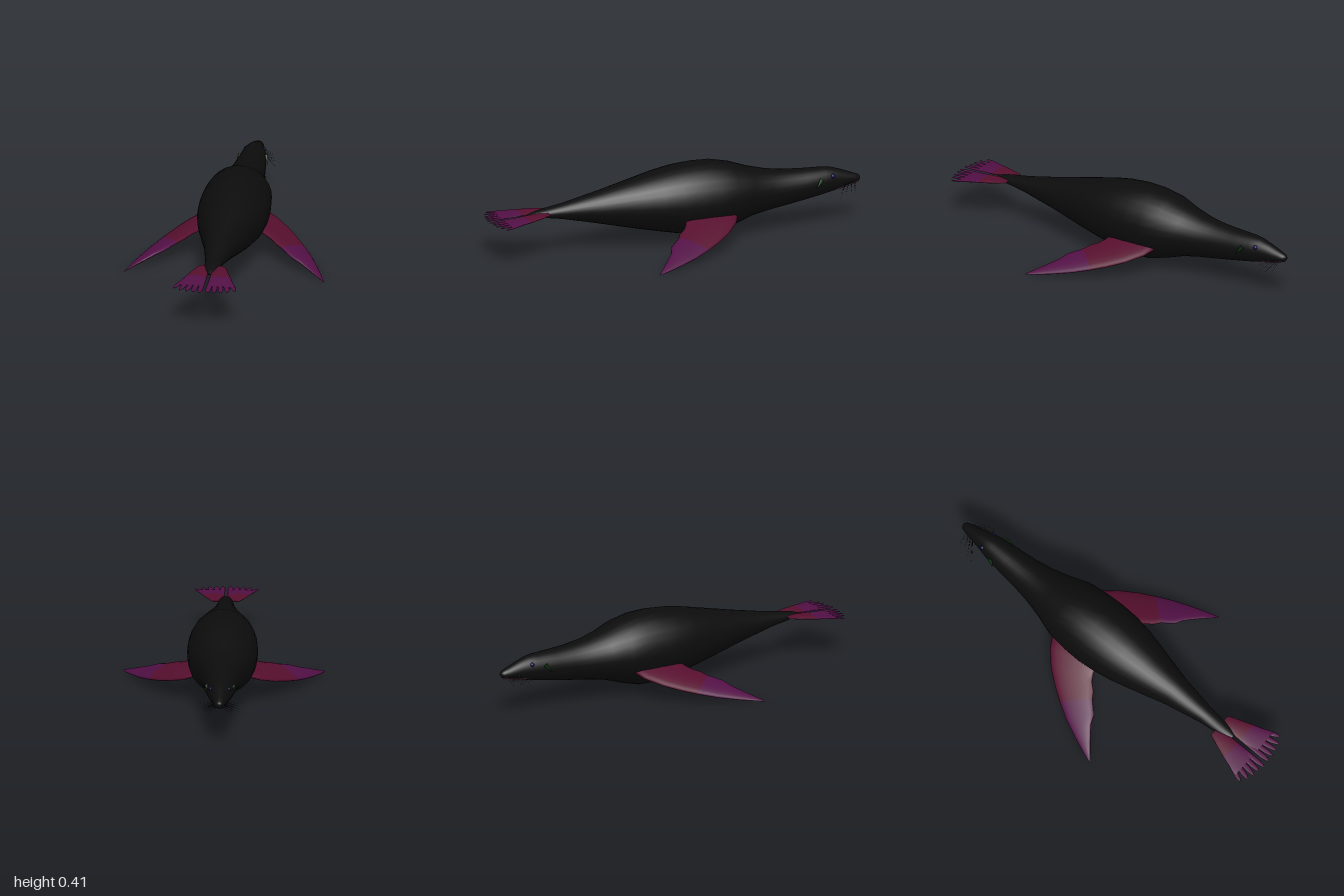
import * as THREE from 'three';

const mat = (name, color, side = THREE.FrontSide) => {
  const m = new THREE.MeshStandardMaterial({ color, side });
  m.name = name;
  return m;
};

// Closed skin over rings of points; rows from splitRow on use material 1
function loft(rings, splitRow = Infinity) {
  const n = rings[0].length;
  const centre = (r) => r.reduce((c, p) => c.add(p), new THREE.Vector3()).divideScalar(n);
  const all = [Array(n).fill(centre(rings[0])), ...rings, Array(n).fill(centre(rings.at(-1)))];
  const pts = all.flat();
  const index = [];
  let volume = 0, splitAt = 0;
  const cross = new THREE.Vector3();
  for (let i = 0; i < all.length - 1; i++) {
    if (i === splitRow + 1) splitAt = index.length;
    for (let j = 0; j < n; j++) {
      const a = i * n + j, b = i * n + (j + 1) % n;
      for (const t of [[a, b, a + n], [b, b + n, a + n]]) {
        volume += cross.crossVectors(pts[t[0]], pts[t[1]]).dot(pts[t[2]]);
        index.push(...t);
      }
    }
  }
  // Turn all faces outward
  if (volume < 0) for (let k = 0; k < index.length; k += 3) [index[k], index[k + 1]] = [index[k + 1], index[k]];
  const g = new THREE.BufferGeometry().setFromPoints(pts);
  g.setIndex(index);
  g.computeVertexNormals();
  if (splitAt) {
    g.addGroup(0, splitAt, 0);
    g.addGroup(splitAt, index.length - splitAt, 1);
  }
  return g;
}

// Flat lens-shaped ring between two edge points
function lens(a, b, half, n = 16) {
  return Array.from({ length: n }, (_, j) => {
    const t = (j / n) * Math.PI * 2;
    const p = new THREE.Vector3().lerpVectors(a, b, (1 - Math.cos(t)) / 2);
    p.y += half * Math.sin(t);
    return p;
  });
}

// Body stations: z, bottom, top, half width
const body = [
  [-1, 0.222, 0.24, 0.01], [-0.99, 0.21, 0.248, 0.02], [-0.96, 0.2, 0.26, 0.03],
  [-0.9, 0.186, 0.283, 0.041], [-0.85, 0.175, 0.299, 0.052], [-0.8, 0.165, 0.306, 0.064],
  [-0.7, 0.147, 0.309, 0.077], [-0.6, 0.13, 0.315, 0.087], [-0.5, 0.115, 0.328, 0.104],
  [-0.4, 0.096, 0.353, 0.131], [-0.3, 0.062, 0.388, 0.165], [-0.2, 0.034, 0.409, 0.176],
  [-0.1, 0.034, 0.411, 0.18], [0, 0.05, 0.402, 0.175], [0.1, 0.071, 0.384, 0.159],
  [0.2, 0.093, 0.36, 0.135], [0.4, 0.14, 0.312, 0.083], [0.6, 0.186, 0.267, 0.047],
  [0.7, 0.203, 0.25, 0.037], [0.75, 0.211, 0.24, 0.024], [0.78, 0.22, 0.23, 0.01],
];

// Half width of the body skin at a given z and y
function skinX(z, y) {
  const i = Math.max(1, body.findIndex((s) => s[0] >= z));
  const [p, q] = [body[i - 1], body[i]];
  const f = (z - p[0]) / (q[0] - p[0]);
  const [, lo, hi, w] = p.map((v, k) => v + (q[k] - v) * f);
  const u = (y - (lo + hi) / 2) / ((hi - lo) / 2);
  return w * Math.sqrt(Math.max(0, 1 - u * u));
}

export function createModel() {
  const model = new THREE.Group();
  model.name = 'seaLion';
  const black = mat('black', 0x0c0c0c);
  const crimson = mat('crimson', 0x560f2e);
  const purple = mat('purple', 0x521045);
  const blue = mat('dark blue', 0x0c0c48);
  const green = mat('dark green', 0x0c300e);

  const add = (name, geometry, material, parent = model) => {
    const mesh = new THREE.Mesh(geometry, material);
    mesh.name = name;
    parent.add(mesh);
    return mesh;
  };

  // Body, head and neck in one skin
  add('body', loft(body.map(([z, lo, hi, w]) => Array.from({ length: 28 }, (_, j) => {
    const t = (j / 28) * Math.PI * 2;
    return new THREE.Vector3(w * Math.cos(t), (lo + hi) / 2 + ((hi - lo) / 2) * Math.sin(t), z);
  }))), black);

  // Front flipper stations: leading x, z, trailing x, z, half thickness
  const fore = [
    [0.13, -0.3, 0.1, -0.02, 0.018], [0.2, -0.263, 0.17, 0, 0.02], [0.27, -0.198, 0.205, 0.02, 0.02],
    [0.33, -0.12, 0.235, 0.055, 0.019], [0.375, -0.05, 0.27, 0.077, 0.018], [0.42, 0.03, 0.32, 0.13, 0.016],
    [0.46, 0.12, 0.365, 0.148, 0.013], [0.49, 0.195, 0.425, 0.193, 0.009], [0.512, 0.258, 0.505, 0.258, 0.002],
  ];
  // Hind flipper stations: z, inner x, outer x, centre y, half thickness
  const hind = [
    [0.69, 0.012, 0.068, 0.232, 0.004], [0.75, 0.008, 0.092, 0.227, 0.01],
    [0.82, 0.007, 0.118, 0.222, 0.01], [0.92, 0.007, 0.152, 0.215, 0.005],
  ];

  for (const s of [1, -1]) {
    const side = s > 0 ? 'left' : 'right';
    const v = (x, y, z) => new THREE.Vector3(s * x, y, z);
    const droop = (x) => 0.003 + 0.4 * (0.512 - x);

    add(side + 'FrontFlipper', loft(fore.map(([lx, lz, tx, tz, h]) =>
      lens(v(lx, droop(lx), lz), v(tx, droop(tx), tz), h)), 4), [crimson, purple]);

    add(side + 'HindFlipper', loft(hind.map(([z, a, b, y, h]) =>
      lens(v(a, y, z), v(b, y, z), h)), 2), [crimson, purple]);

    // Five toes with rounded tips, fanned outward
    for (let i = 0; i < 5; i++) {
      const root = v(0.02 + i * 0.022, 0.221, 0.83);
      const tip = v(0.02 + i * 0.034, 0.211, [1, 0.995, 0.99, 0.98, 0.958][i]);
      const rings = [[0, 0.009], [0.45, 0.014], [0.75, 0.014], [0.9, 0.01], [0.97, 0.006], [1, 0.001]].map(([f, w]) => {
        const c = root.clone().lerp(tip, f);
        return lens(c.clone().setX(c.x - w), c.clone().setX(c.x + w), 0.005 * (1 - 0.7 * f), 10);
      });
      add(side + 'Toe', loft(rings), purple);
    }

    // Eye set into the head
    const eye = add(side + 'Eye', new THREE.SphereGeometry(0.012, 14, 10), blue);
    eye.position.copy(v(skinX(-0.84, 0.265) - 0.005, 0.265, -0.84));

    // Ear hanging back and down
    const ear = add(side + 'Ear', new THREE.ConeGeometry(0.012, 0.055, 10), green);
    ear.position.copy(v(0.073, 0.238, -0.757));
    ear.quaternion.setFromUnitVectors(new THREE.Vector3(0, 1, 0), v(0.3, -0.75, 0.6).normalize());

    // Lip line following the muzzle
    const lip = [-0.86, -0.9, -0.94, -0.97, -0.988].map((z, i) => {
      const y = [0.19, 0.195, 0.204, 0.211, 0.216][i];
      return v(skinX(z, y), y, z);
    });
    add(side + 'Lip', new THREE.TubeGeometry(new THREE.CatmullRomCurve3(lip), 16, 0.004, 6), crimson);

    // Whiskers fanning from the muzzle
    const whiskers = new THREE.Group();
    whiskers.name = side + 'Whiskers';
    model.add(whiskers);
    for (let i = 0; i < 12; i++) {
      const row = i % 3, f = Math.floor(i / 3) / 3;
      const z = -0.965 + f * 0.05, y = 0.207 + row * 0.008;
      const from = v(skinX(z, y) - 0.002, y, z);
      const to = v(0.075 + f * 0.035 + row * 0.004, 0.16 + row * 0.015, -0.955 + f * 0.1);
      const dir = to.clone().sub(from);
      const hair = add('whisker', new THREE.ConeGeometry(0.0011, dir.length(), 4), black, whiskers);
      hair.position.copy(from).addScaledVector(dir, 0.5);
      hair.quaternion.setFromUnitVectors(new THREE.Vector3(0, 1, 0), dir.normalize());
    }
  }
  return model;
}
